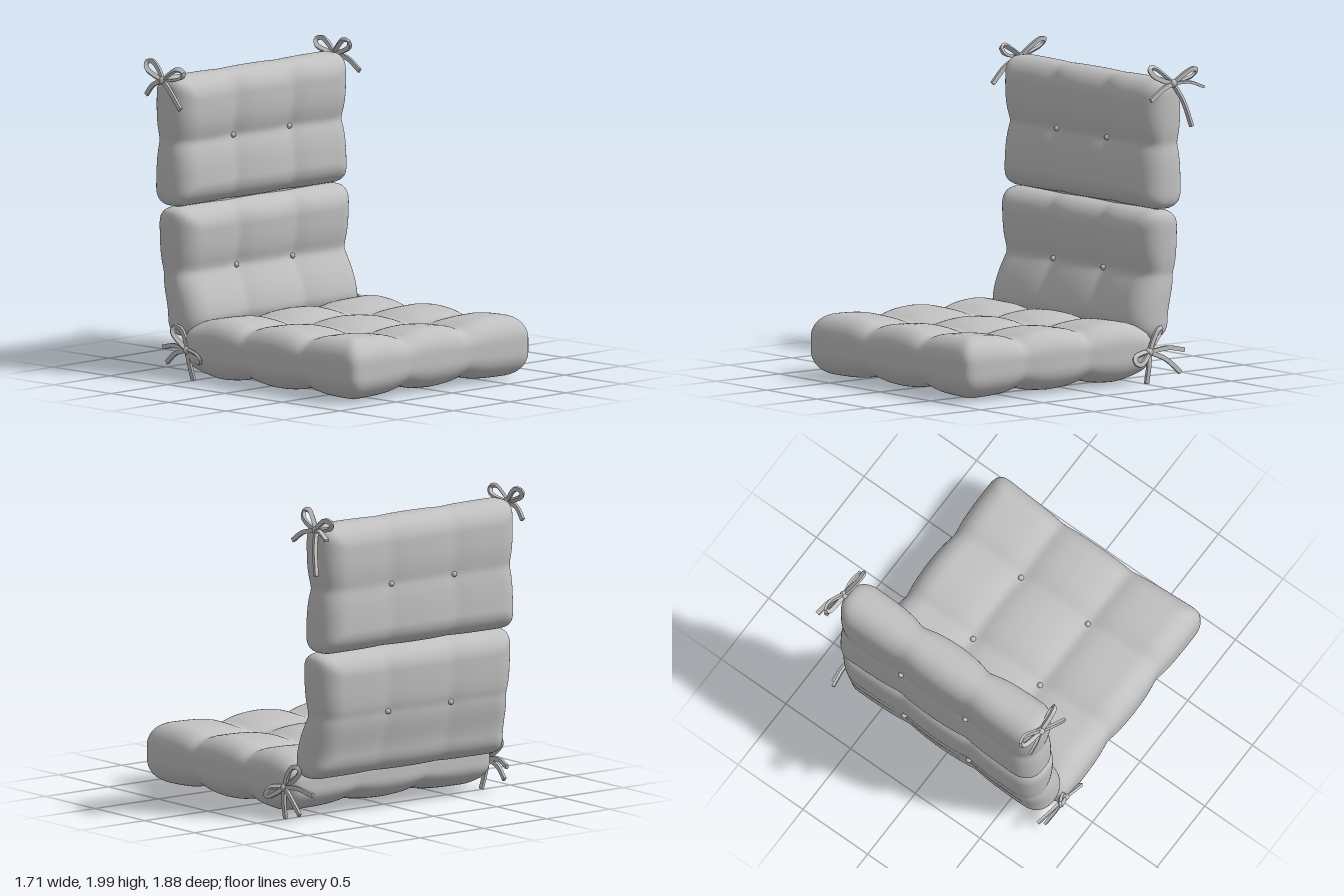
import * as THREE from 'three';
import { mergeVertices } from 'three/addons/utils/BufferGeometryUtils.js';

const fabric = new THREE.MeshStandardMaterial({ color: 0xc0c0c0 });
fabric.name = 'greyFabric';

const V = (x, y, z) => new THREE.Vector3(x, y, z);
const clamp = THREE.MathUtils.clamp;
const smooth = THREE.MathUtils.smoothstep;

// Strength of the nearest stitched crease: 1 on the line, fading to 0 away from it
function crease(value, lines, width) {
  return Math.max(...lines.map((l) => Math.exp(-(Math.hypot(value - l, 0.025) - 0.025) / width)));
}

// Tufted cushion: a rounded box, pinched along creases, then placed by a rule.
// u runs along the width, v along the length, w through the thickness.
function cushion(name, o) {
  const group = new THREE.Group();
  group.name = name;
  const half = V(o.width / 2, o.length / 2, o.thickness / 2);
  const inner = half.clone().subScalar(o.radius);

  const shape = (p) => {
    const cu = crease(p.x, o.creasesU, 0.085);
    const cv = crease(p.y, o.creasesV, 0.085);
    const pinch = o.depth * (cu + cv - cu * cv) + o.buttonDepth * cu * cv;
    const w = p.z * (1 - pinch * (p.z > 0 ? 1 : o.backStrength));
    // Outer edges draw in slightly where a crease meets them
    const u = p.x * (1 - 0.025 * cv);
    const v = p.y * (1 - 0.012 * cu);
    return o.place(u, v, w);
  };

  const geo = new THREE.BoxGeometry(o.width, o.length, o.thickness, 64, 64, 16);
  const pos = geo.attributes.position;
  const p = V(0, 0, 0);
  for (let i = 0; i < pos.count; i++) {
    p.fromBufferAttribute(pos, i);
    const core = V(
      clamp(p.x, -inner.x, inner.x),
      clamp(p.y, -inner.y, inner.y),
      clamp(p.z, -inner.z, inner.z)
    );
    // Round through the thickness, with squarer corners in plan
    p.sub(core);
    const plan = Math.pow(p.x ** 4 + p.y ** 4, 0.25);
    p.multiplyScalar(o.radius / Math.hypot(plan, p.z)).add(core);
    const q = shape(p);
    pos.setXYZ(i, q.x, q.y, q.z);
  }
  geo.deleteAttribute('uv');
  geo.deleteAttribute('normal');
  const welded = mergeVertices(geo, 1e-5);
  welded.computeVertexNormals();
  const body = new THREE.Mesh(welded, fabric);
  body.name = name + 'Body';
  group.add(body);

  // Buttons on both faces at every crossing of creases
  for (const u of o.creasesU) for (const v of o.creasesV) for (const side of [1, -1]) {
    const button = new THREE.Mesh(new THREE.SphereGeometry(0.018, 14, 10), fabric);
    button.name = 'button';
    button.position.copy(shape(V(u, v, side * (half.z + 0.008))));
    group.add(button);
  }
  return group;
}

// Soft ribbon swept along a curve
function ribbon(name, points) {
  const s = new THREE.Shape();
  s.moveTo(-0.009, -0.014);
  s.lineTo(0.009, -0.014);
  s.lineTo(0.009, 0.014);
  s.lineTo(-0.009, 0.014);
  s.closePath();
  const path = new THREE.CatmullRomCurve3(points);
  const geo = new THREE.ExtrudeGeometry(s, { steps: 28, extrudePath: path, bevelEnabled: false });
  const mesh = new THREE.Mesh(geo, fabric);
  mesh.name = name;
  return mesh;
}

// Bow: a knot, two loops and loose tails, given by their end points
function bow(name, knot, loops, tails) {
  const group = new THREE.Group();
  group.name = name;
  const ball = new THREE.Mesh(new THREE.SphereGeometry(0.026, 12, 8), fabric);
  ball.name = 'knot';
  ball.position.copy(knot);
  group.add(ball);
  for (const tip of loops) {
    const dir = tip.clone().sub(knot);
    const across = V(0.5, 0, 0).add(V(0, -dir.z, dir.y).normalize()).setLength(0.035);
    const at = (t, s) => knot.clone().addScaledVector(dir, t).addScaledVector(across, s);
    group.add(ribbon('bowLoop', [
      at(0, 0), at(0.45, 0.75), at(0.85, 0.85), at(1, 0), at(0.85, -0.75), at(0.45, -0.6), at(0.02, -0.05),
    ]));
  }
  for (const tip of tails) {
    const mid = knot.clone().lerp(tip, 0.5).add(V(Math.sign(knot.x) * 0.01, 0.02, 0));
    group.add(ribbon('bowTail', [knot.clone(), mid, tip]));
  }
  return group;
}

export function createModel() {
  const model = new THREE.Group();
  model.name = 'tuftedChairCushion';

  // Seat pad, thinner towards the rear
  model.add(cushion('seatCushion', {
    width: 1.6, length: 1.52, thickness: 0.39, radius: 0.15,
    creasesU: [-0.26, 0.27], creasesV: [0.24, -0.27],
    depth: 0.24, buttonDepth: 0.22, backStrength: 0.75,
    place: (u, v, w) => {
      const z = 0.18 - v;
      const taper = 1 - 0.22 * smooth(-z, 0.3, 0.57);
      const frontDip = 0.025 * smooth(z, 0.6, 0.93) * (1 - Math.min(1, (u / 0.75) ** 2));
      return V(u - 0.015, 0.225 + w * taper, z - frontDip);
    },
  }));

  // Two back pads; the lower one curves forward to meet the seat
  const back = {
    width: 1.53, radius: 0.145, creasesU: [-0.255, 0.255], creasesV: [0],
    depth: 0.24, buttonDepth: 0.27, backStrength: 0.45,
  };
  model.add(cushion('lowerBackCushion', {
    ...back, length: 0.81, thickness: 0.32,
    place: (u, v, w) => {
      const y = 0.68 + v;
      return V(u - 0.03, y, -0.695 + 0.075 * (1 - smooth(y, 0.38, 0.74)) + w);
    },
  }));
  model.add(cushion('upperBackCushion', {
    ...back, length: 0.82, thickness: 0.33,
    place: (u, v, w) => V(u - 0.03, 1.495 + v, -0.72 + w * (1 - 0.06 * smooth(v, 0.1, 0.4))),
  }));

  // Thin hinge seam joining the back pads
  const hinge = new THREE.Mesh(new THREE.BoxGeometry(1.36, 0.05, 0.03), fabric);
  hinge.name = 'backHinge';
  hinge.position.set(-0.03, 1.085, -0.7);
  model.add(hinge);

  // Ties at the top corners and at the rear of the seat
  model.add(bow('topLeftTie', V(0.735, 1.88, -0.75),
    [V(0.7, 1.98, -0.59), V(0.75, 1.95, -0.92)],
    [V(0.76, 1.79, -0.55), V(0.805, 1.61, -0.84), V(0.8, 1.85, -0.94)]));
  model.add(bow('topRightTie', V(-0.785, 1.88, -0.75),
    [V(-0.755, 1.975, -0.92), V(-0.775, 1.95, -0.59)],
    [V(-0.825, 1.72, -0.56), V(-0.8, 1.78, -0.88)]));
  model.add(bow('seatLeftTie', V(0.795, 0.22, -0.51),
    [V(0.775, 0.36, -0.62), V(0.835, 0.17, -0.37)],
    [V(0.79, 0.21, -0.79), V(0.84, 0.08, -0.72), V(0.78, 0.02, -0.5)]));
  model.add(bow('seatRightTie', V(-0.805, 0.21, -0.52),
    [V(-0.83, 0.35, -0.61), V(-0.82, 0.16, -0.39)],
    [V(-0.77, 0.02, -0.5), V(-0.79, 0.11, -0.71), V(-0.77, 0.2, -0.76)]));

  return model;
}
